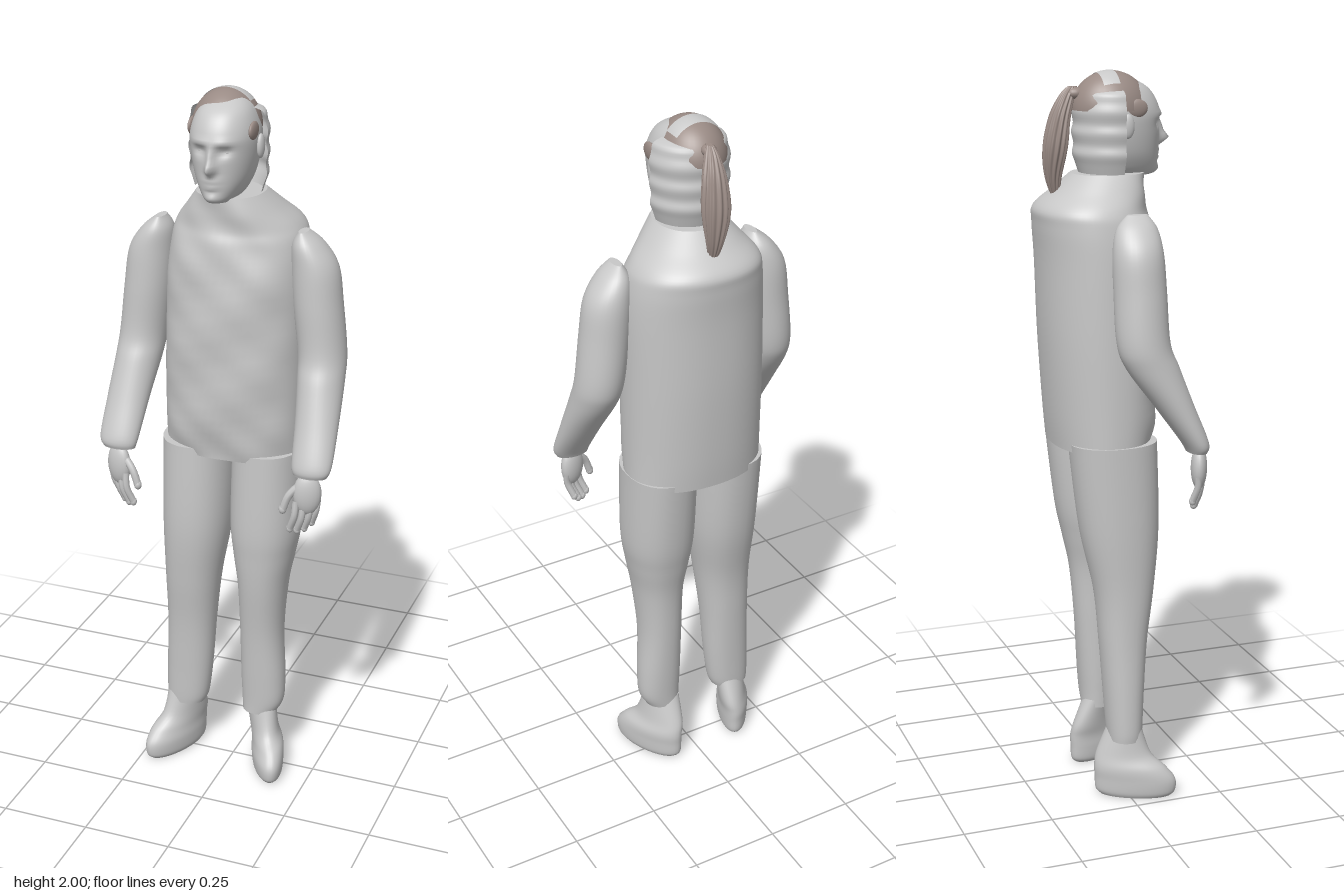
import * as THREE from 'three';

const grey = new THREE.MeshStandardMaterial({ color: 0xc8c8c8, side: THREE.DoubleSide });
grey.name = 'pale grey';
const brown = new THREE.MeshStandardMaterial({ color: 0x9a8b85, side: THREE.DoubleSide });
brown.name = 'hair brown';

// Smooth blend through rows of [y, cx, cz, rx, rz]
function blend(rows, t) {
  const i = Math.min(Math.floor(t), rows.length - 2), u = t - i;
  const at = k => rows[Math.max(0, Math.min(rows.length - 1, k))];
  return at(i).map((b, k) => {
    const a = at(i - 1)[k], c = at(i + 1)[k], d = at(i + 2)[k];
    return b + 0.5 * u * (c - a + u * (2 * a - 5 * b + 4 * c - d + u * (3 * (b - c) + d - a)));
  });
}

// Closed body from horizontal oval rings, listed bottom to top; shape() may move each point
function loft(rows, { segs = 32, steps = 6, power = 2, shape } = {}) {
  const pos = [], idx = [], n = (rows.length - 1) * steps;
  const ovalPow = v => Math.sign(v) * Math.pow(Math.abs(v), 2 / power);
  const ring = i => {
    const [y, cx, cz, rx, rz] = blend(rows, i / steps);
    for (let j = 0; j < segs; j++) {
      const a = j / segs * Math.PI * 2;
      const p = new THREE.Vector3(cx + rx * ovalPow(Math.cos(a)), y, cz + rz * ovalPow(Math.sin(a)));
      if (shape) shape(p, a, cx, cz);
      pos.push(p.x, p.y, p.z);
    }
  };
  for (let i = 0; i <= n; i++) ring(i);
  for (let i = 0; i < n; i++) for (let j = 0; j < segs; j++) {
    const a = i * segs + j, b = i * segs + (j + 1) % segs;
    idx.push(a, a + segs, b, b, a + segs, b + segs);
  }
  // End caps have their own points so their rims stay sharp
  for (const end of [0, n]) {
    const base = pos.length / 3, row = rows[end ? rows.length - 1 : 0];
    ring(end);
    pos.push(row[1], row[0], row[2]);
    for (let j = 0; j < segs; j++) {
      const a = base + j, b = base + (j + 1) % segs;
      idx.push(base + segs, end ? b : a, end ? a : b);
    }
  }
  const g = new THREE.BufferGeometry();
  g.setAttribute('position', new THREE.Float32BufferAttribute(pos, 3));
  g.setIndex(idx);
  g.computeVertexNormals();
  return g;
}

function add(parent, name, geometry, material = grey) {
  const m = new THREE.Mesh(geometry, material);
  m.name = name;
  parent.add(m);
  return m;
}

function ellipsoid(parent, name, [x, y, z], [rx, ry, rz], material = grey) {
  const m = add(parent, name, new THREE.SphereGeometry(1, 20, 14), material);
  m.position.set(x, y, z);
  m.scale.set(rx, ry, rz);
  return m;
}

// Bent finger through a few points
function finger(parent, name, points, r) {
  const pts = points.map(p => new THREE.Vector3(...p));
  add(parent, name, new THREE.TubeGeometry(new THREE.CatmullRomCurve3(pts), 8, r, 8));
  const tip = pts[pts.length - 1];
  ellipsoid(parent, name + 'Tip', [tip.x, tip.y, tip.z], [r, r * 1.3, r]);
}

const bell = (x, y, cx, cy, sx, sy) => Math.exp(-(((x - cx) / sx) ** 2) - ((y - cy) / sy) ** 2);

function buildHead() {
  const head = new THREE.Group();
  head.name = 'head';
  const cx = -0.008;
  // [y, half width, back, front]
  const profile = [
    [1.66, 0.05, -0.06, 0.05], [1.715, 0.045, -0.06, 0.06], [1.727, 0.04, -0.06, 0.125],
    [1.75, 0.056, -0.065, 0.134], [1.79, 0.074, -0.075, 0.135], [1.85, 0.086, -0.085, 0.138],
    [1.9, 0.087, -0.085, 0.138], [1.95, 0.071, -0.07, 0.11], [1.98, 0.044, -0.04, 0.058], [1.99, 0.015, -0.01, 0.02],
  ];
  const rows = profile.map(([y, w, b, f]) => [y, cx, (b + f) / 2, w, (f - b) / 2]);
  add(head, 'face', loft(rows, {
    segs: 96, power: 2.15, shape: p => {
      if (p.z < 0.04) return;
      const x = Math.abs(p.x - cx), y = p.y;
      p.z += 0.031 * bell(x, y, 0, 1.818, 0.013, 0.015) + 0.016 * bell(x, y, 0, 1.845, 0.01, 0.025)
        - 0.013 * bell(x, y, 0.033, 1.862, 0.018, 0.012) + 0.006 * bell(x, y, 0.03, 1.885, 0.03, 0.008)
        + 0.011 * bell(x, y, 0, 1.786, 0.022, 0.006) + 0.009 * bell(x, y, 0, 1.77, 0.02, 0.006)
        + 0.008 * bell(x, y, 0, 1.742, 0.02, 0.012);
    },
  }));
  for (const s of [-1, 1]) {
    ellipsoid(head, 'eye', [cx + s * 0.033, 1.861, 0.11], [0.013, 0.007, 0.01]);
    ellipsoid(head, 'ear', [cx + s * 0.092, 1.86, 0.022], [0.01, 0.032, 0.018]);
    ellipsoid(head, 'sideLock', [cx + s * 0.083, 1.905, 0.05], [0.009, 0.024, 0.03], brown);
  }

  // Banded half shell behind the ears
  const shell = [[0.092, 1.735], [0.1, 1.76], [0.108, 1.785], [0.104, 1.81], [0.11, 1.84], [0.105, 1.865],
    [0.11, 1.895], [0.103, 1.92], [0.096, 1.945], [0.06, 1.957]].map(p => new THREE.Vector2(...p));
  const curve = new THREE.SplineCurve(shell).getPoints(36);
  const back = add(head, 'backOfHead', new THREE.LatheGeometry(curve, 32, Math.PI / 2, Math.PI));
  back.position.set(-0.01, 0, 0.012);

  // Hair dome with a pale band over the crown
  const dome = add(head, 'hairCap', new THREE.SphereGeometry(1, 40, 16, 0, Math.PI * 2, 0, Math.PI / 2), brown);
  const band = add(head, 'crownBand', new THREE.SphereGeometry(1, 24, 8, Math.PI * 1.5 - 0.8, 1.6, 1.52, 0.42).rotateX(Math.PI / 2));
  dome.scale.set(0.09, 0.1, 0.105);
  band.scale.set(0.091, 0.1012, 0.106);
  for (const m of [dome, band]) m.position.set(-0.015, 1.899, 0.003);

  // Ponytail with ridged strands
  const tail = [
    [1.65, 0.004, -0.138, 0.005, 0.005], [1.72, 0.002, -0.15, 0.022, 0.02], [1.8, -0.003, -0.146, 0.036, 0.031],
    [1.88, -0.005, -0.134, 0.031, 0.027], [1.935, -0.008, -0.115, 0.018, 0.02], [1.96, -0.01, -0.1, 0.008, 0.012],
  ];
  add(head, 'ponytail', loft(tail, {
    segs: 72, shape: (p, a, x, z) => {
      const k = 1 + 0.09 * Math.sin(a * 12 + p.y * 14);
      p.x = x + (p.x - x) * k;
      p.z = z + (p.z - z) * k;
    },
  }), brown);
  ellipsoid(head, 'hairTie', [-0.012, 1.942, -0.092], [0.02, 0.016, 0.025], brown);
  return head;
}

// s is the side: +1 left, -1 right
function buildArm(s) {
  const arm = new THREE.Group();
  arm.name = s > 0 ? 'leftArm' : 'rightArm';
  const rows = [
    [1.02, 0.275, 0.152, 0.046, 0.026], [1.05, 0.277, 0.144, 0.055, 0.036], [1.15, 0.271, 0.088, 0.059, 0.053],
    [1.25, 0.262, 0.033, 0.063, 0.071], [1.32, 0.256, 0.008, 0.065, 0.071], [1.45, 0.241, 0.004, 0.066, 0.07],
    [1.55, 0.23, 0.002, 0.062, 0.067], [1.61, 0.212, 0.005, 0.042, 0.055], [1.645, 0.2, 0.01, 0.012, 0.028],
  ].map(([y, x, ...rest]) => [y, s * x, ...rest]);
  add(arm, 'sleeve', loft(rows));
  const palm = ellipsoid(arm, 'palm', [s * 0.272, 0.972, 0.162], [0.038, 0.06, 0.022]);
  palm.rotation.y = s * 0.35;
  for (let i = 0; i < 4; i++) {
    const x = 0.246 + i * 0.017, z = 0.178 - i * 0.01, drop = [0.006, 0, 0.004, 0.02][i];
    finger(arm, 'finger', [[s * x, 0.955, z], [s * (x - 0.003), 0.905 + drop, z + 0.003],
      [s * (x - 0.018), 0.862 + drop, z - 0.006]], 0.0095);
  }
  finger(arm, 'thumb', [[s * 0.255, 1.0, 0.168], [s * 0.225, 0.965, 0.178], [s * 0.21, 0.925, 0.18]], 0.0105);
  return arm;
}

function buildLeg(s) {
  const leg = new THREE.Group();
  leg.name = s > 0 ? 'leftLeg' : 'rightLeg';
  const rows = s > 0 ? [
    [0.178, 0.085, 0, 0.05, 0.046], [0.22, 0.094, 0, 0.061, 0.049], [0.3, 0.094, 0, 0.064, 0.055],
    [0.45, 0.09, 0.001, 0.062, 0.066], [0.6, 0.094, 0.005, 0.07, 0.083], [0.7, 0.096, 0, 0.086, 0.098],
    [0.8, 0.098, -0.007, 0.098, 0.111], [1.02, 0.1, -0.022, 0.098, 0.122],
  ] : [
    [0.165, -0.145, 0, 0.056, 0.046], [0.2, -0.14, 0, 0.063, 0.049], [0.3, -0.133, 0, 0.068, 0.055],
    [0.45, -0.125, 0.001, 0.071, 0.066], [0.6, -0.117, 0.005, 0.08, 0.083], [0.78, -0.106, -0.005, 0.096, 0.11],
    [1.02, -0.103, -0.022, 0.1, 0.122],
  ];
  add(leg, 'trouserLeg', loft(rows, { power: 2.2 }));
  // Foot with toes turned outward
  const x = s > 0 ? 0.108 : -0.165, ankle = s > 0 ? 0.088 : -0.148;
  const foot = [
    [0, x, 0.022, 0.04, 0.092], [0.015, x, 0.022, 0.047, 0.104], [0.05, x, 0.021, 0.05, 0.105],
    [0.085, x, 0.008, 0.049, 0.093], [0.125, (x + ankle) / 2, -0.006, 0.045, 0.07], [0.2, ankle, -0.001, 0.046, 0.042],
  ];
  add(leg, 'foot', loft(foot, { shape: p => { p.x += s * 0.38 * p.z; } }));
  return leg;
}

export function createModel() {
  const model = new THREE.Group();
  model.name = 'standingPerson';
  const torso = [
    [1.0, 0, -0.03, 0.196, 0.131], [1.1, 0, -0.026, 0.196, 0.145], [1.3, 0.002, -0.029, 0.196, 0.155],
    [1.5, 0.006, -0.034, 0.194, 0.156], [1.6, 0.006, -0.045, 0.184, 0.152], [1.645, 0.004, -0.05, 0.168, 0.145],
    [1.69, 0, -0.025, 0.128, 0.122], [1.733, -0.004, 0, 0.09, 0.1],
  ];
  // Shirt with soft creases on the front
  add(model, 'shirt', loft(torso, {
    segs: 64, power: 2.2, shape: p => {
      if (p.z > 0) p.z += 0.005 * Math.sin(p.y * 38 + p.x * 9) * Math.sin(p.x * 31 + p.y * 11) * Math.min(1, p.z * 12);
    },
  }));
  model.add(buildHead());
  for (const s of [-1, 1]) model.add(buildArm(s), buildLeg(s));
  return model;
}
